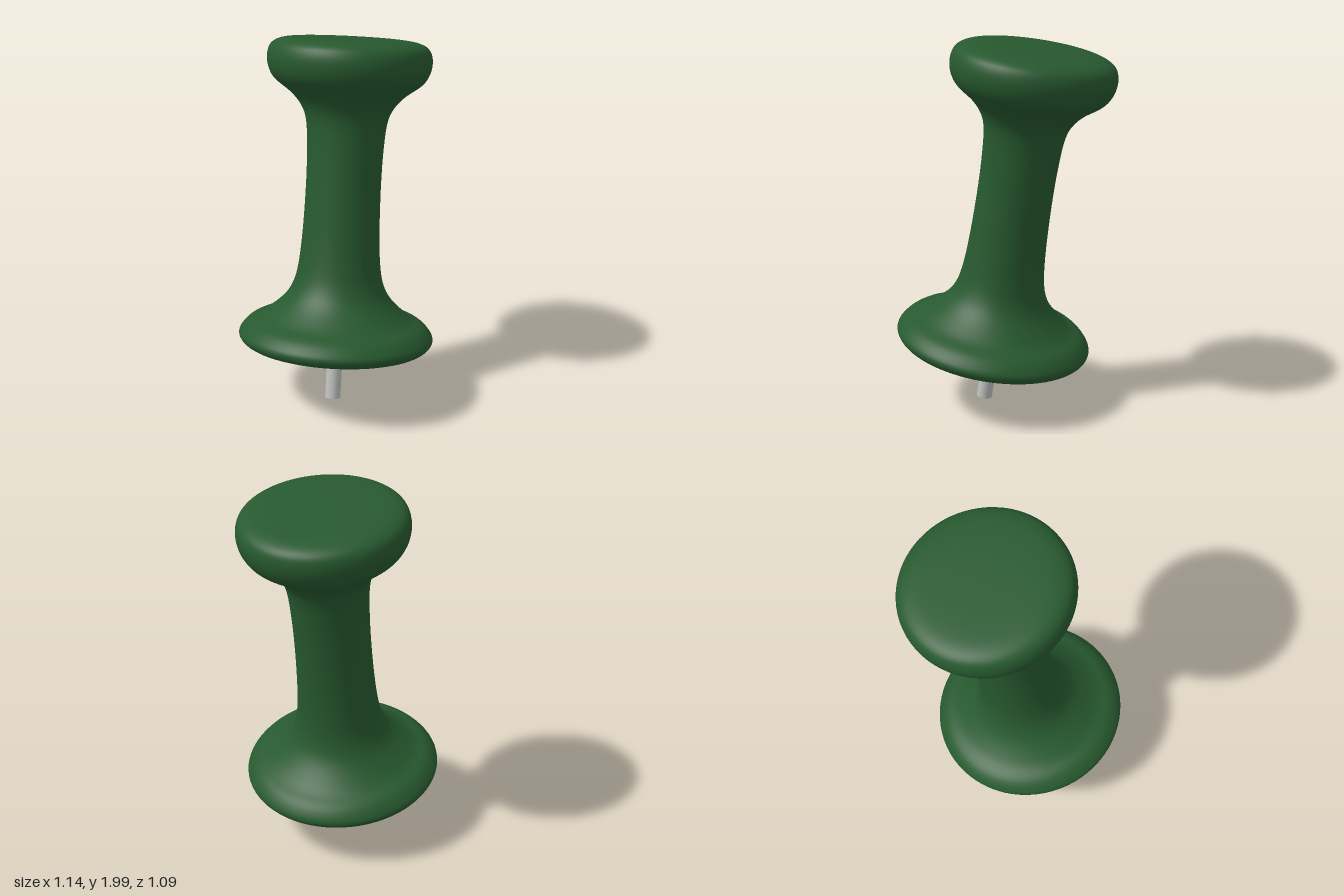
import * as THREE from 'three';

export function createModel() {
  const green = new THREE.MeshStandardMaterial({ color: 0x27592f });
  green.name = 'green plastic';
  const steel = new THREE.MeshStandardMaterial({ color: 0xc0c0c0 });
  steel.name = 'steel';

  // Grip: turned profile (radius, height along the axis) from underside to top
  const profile = [
    [0, 0.315], [0.2, 0.314], [0.4, 0.308], [0.47, 0.31], [0.51, 0.328], [0.528, 0.36],
    [0.512, 0.395], [0.47, 0.435], [0.39, 0.475], [0.295, 0.56], [0.245, 0.645],
    [0.22, 0.76], [0.206, 0.95], [0.2, 1.2], [0.204, 1.4], [0.216, 1.53],
    [0.245, 1.605], [0.3, 1.67], [0.385, 1.735], [0.42, 1.785], [0.434, 1.84],
    [0.43, 1.89], [0.41, 1.927], [0.365, 1.951], [0.29, 1.962], [0.15, 1.966], [0, 1.967],
  ].map(([r, y]) => new THREE.Vector2(r, y));
  const points = new THREE.SplineCurve(profile).getPoints(104);
  points.forEach((p) => { p.x = Math.max(p.x, 0); });
  const grip = new THREE.Mesh(new THREE.LatheGeometry(points, 72), green);
  grip.name = 'grip';

  // Pin: short blunt rod that runs up into the grip
  const pinLength = 0.4;
  const pin = new THREE.Mesh(new THREE.CylinderGeometry(0.042, 0.042, pinLength, 32), steel);
  pin.name = 'pin';
  pin.position.y = pinLength / 2;

  // Lean the whole tack about the foot of the pin
  const tack = new THREE.Group();
  tack.name = 'pushPin';
  tack.add(grip, pin);
  const axis = new THREE.Vector3(0.128, 1, -0.091).normalize();
  tack.quaternion.setFromUnitVectors(new THREE.Vector3(0, 1, 0), axis);
  tack.position.set(-0.096, 0.0065, 0.053);

  const model = new THREE.Group();
  model.name = 'model';
  model.add(tack);
  return model;
}
